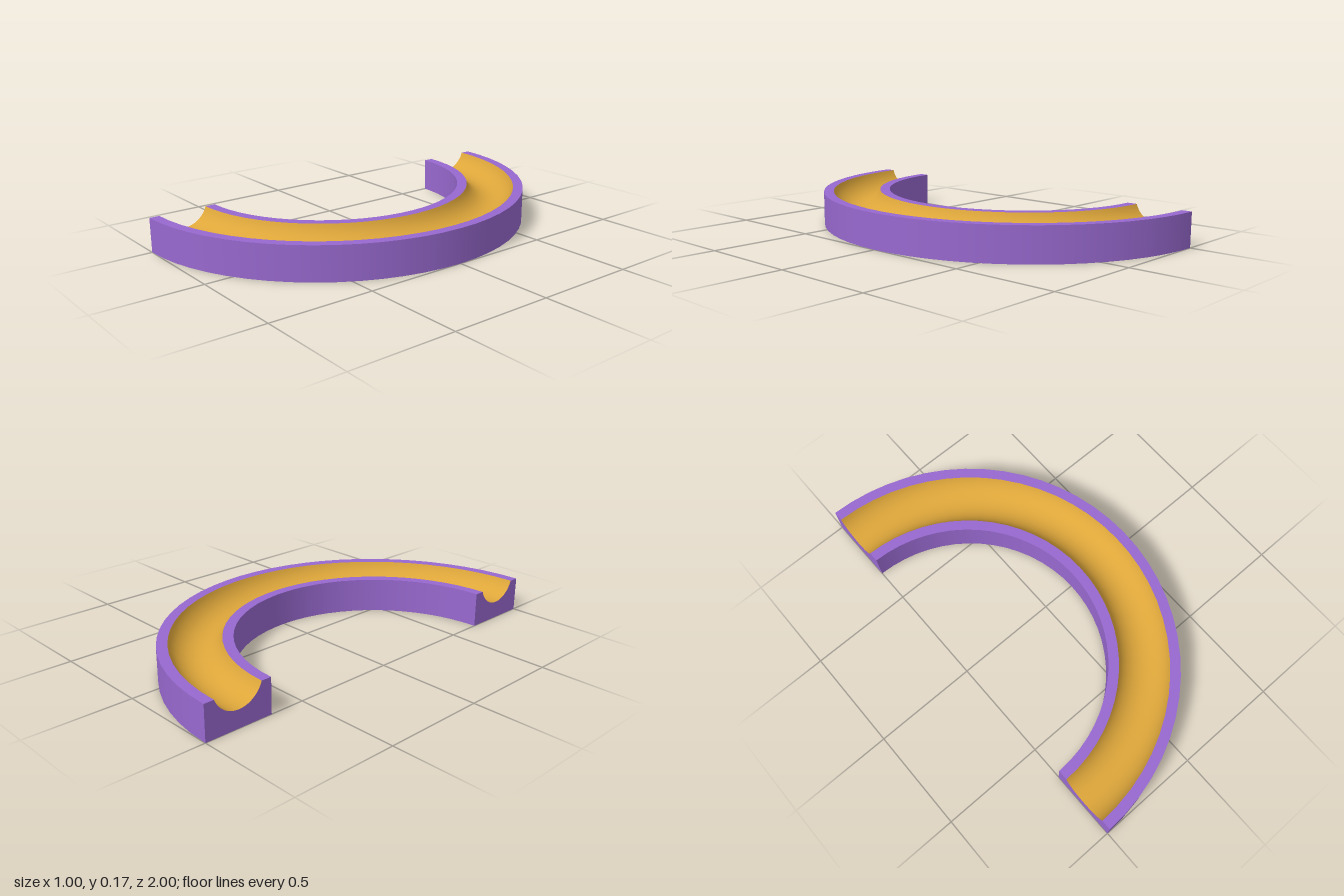
import * as THREE from 'three';

const OUTER = 1, INNER = 2 / 3, HEIGHT = 1 / 6, SEGMENTS = 32;
// Groove: circular arc whose centre sits a little above the top face
const MID = (OUTER + INNER) / 2, GROOVE_R = 0.125, GROOVE_Y = HEIGHT + 1 / 24;
const HALF = Math.sqrt(GROOVE_R ** 2 - (GROOVE_Y - HEIGHT) ** 2);

const v = (r, y) => new THREE.Vector2(r, y);

// Arc from the outer groove edge down and up to the inner edge
function groovePoints(n = 24) {
  const a = Math.asin((GROOVE_Y - HEIGHT) / GROOVE_R);
  return Array.from({ length: n + 1 }, (_, i) => {
    const t = -a - (Math.PI - 2 * a) * (i / n);
    return v(MID + GROOVE_R * Math.cos(t), GROOVE_Y + GROOVE_R * Math.sin(t));
  });
}

export function createModel() {
  const purple = new THREE.MeshStandardMaterial({ color: 0x9869cf });
  purple.name = 'purple body';
  const gold = new THREE.MeshStandardMaterial({ color: 0xdda63a });
  gold.name = 'golden groove';

  const track = new THREE.Group();
  track.name = 'curvedTrack';
  const add = (name, geometry, material) => {
    const mesh = new THREE.Mesh(geometry, material);
    mesh.name = name;
    track.add(mesh);
  };
  // Half-turn sweep; separate faces keep the edges between them sharp
  const sweep = (name, points, material) =>
    add(name, new THREE.LatheGeometry(points, SEGMENTS, 0, Math.PI), material);

  const groove = groovePoints();
  sweep('outerWall', [v(OUTER, 0), v(OUTER, HEIGHT)], purple);
  sweep('outerLip', [v(OUTER, HEIGHT), v(MID + HALF, HEIGHT)], purple);
  sweep('groove', groove, gold);
  sweep('innerLip', [v(MID - HALF, HEIGHT), v(INNER, HEIGHT)], purple);
  sweep('innerWall', [v(INNER, HEIGHT), v(INNER, 0)], purple);
  sweep('underside', [v(INNER, 0), v(OUTER, 0)], purple);

  // Flat end faces, mirrored front and back
  const section = [v(INNER, 0), v(OUTER, 0), v(OUTER, HEIGHT), ...groove, v(INNER, HEIGHT)];
  for (const [name, side] of [['frontEnd', 1], ['backEnd', -1]]) {
    const shape = new THREE.Shape(section.map((p) => v(p.x * side, p.y)));
    add(name, new THREE.ShapeGeometry(shape).rotateY(-Math.PI / 2), purple);
  }

  track.position.x = -0.5;
  const model = new THREE.Group();
  model.name = 'halfCircleTrack';
  model.add(track);
  return model;
}
